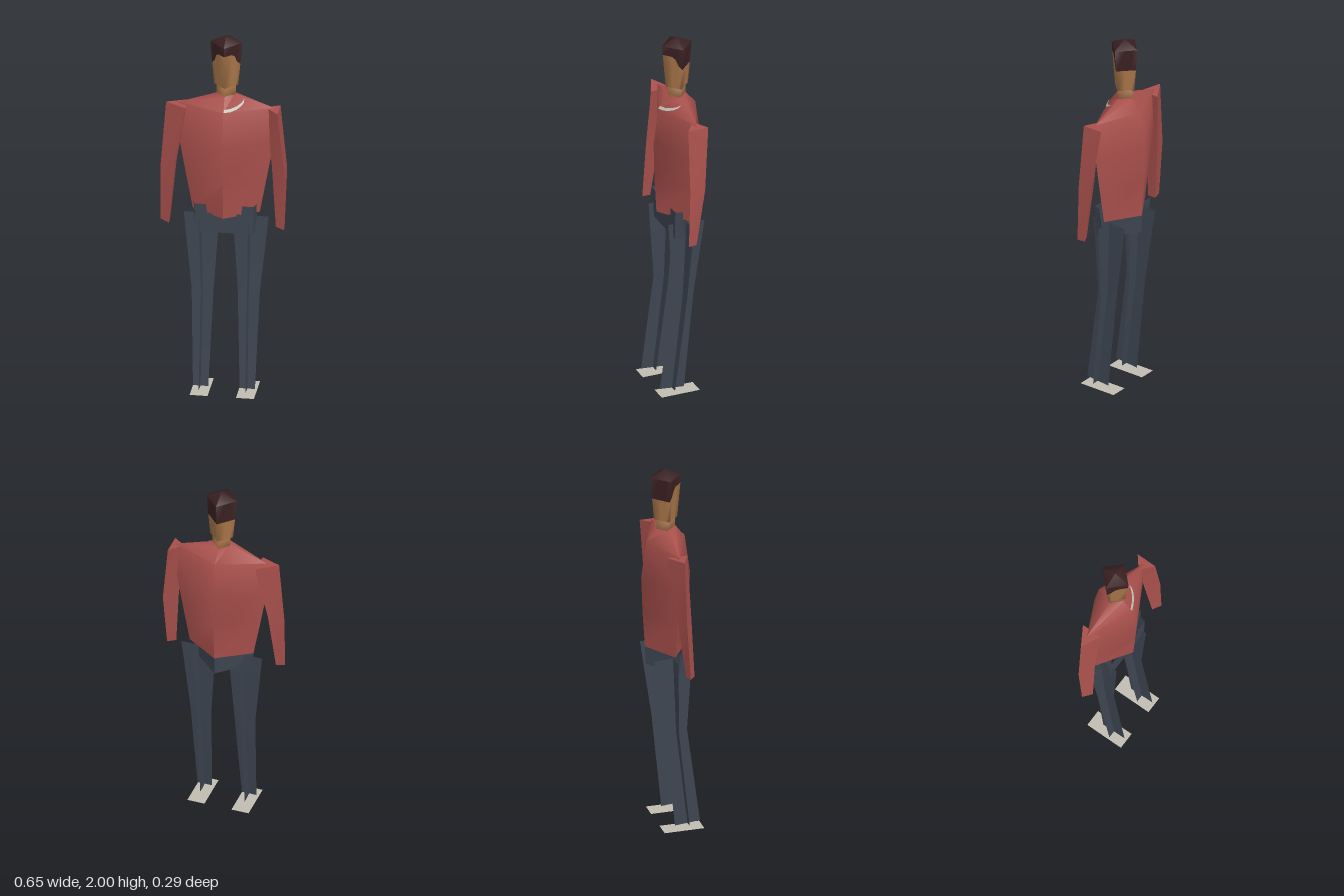
import * as THREE from 'three';
import { toCreasedNormals } from 'three/addons/utils/BufferGeometryUtils.js';

const CX = 0.01, CZ = -0.013; // body axis

function material(name, color) {
  const m = new THREE.MeshStandardMaterial({ color, side: THREE.DoubleSide });
  m.name = name;
  return m;
}

// Geometry from a list of polygons (each a list of [x, y, z] corners)
function fromPolygons(polys, crease) {
  const pos = [];
  for (const p of polys)
    for (let i = 1; i < p.length - 1; i++) pos.push(...p[0], ...p[i], ...p[i + 1]);
  const g = new THREE.BufferGeometry();
  g.setAttribute('position', new THREE.Float32BufferAttribute(pos, 3));
  g.computeVertexNormals();
  return toCreasedNormals(g, crease);
}

// Skin rings of points, bottom to top, with optional end caps
function loft(rings, crease, bottom = true, top = true) {
  const polys = [];
  for (let r = 0; r < rings.length - 1; r++) {
    const a = rings[r], b = rings[r + 1], n = a.length;
    for (let i = 0; i < n; i++) {
      const j = (i + 1) % n;
      polys.push([a[i], a[j], b[j], b[i]]);
    }
  }
  if (bottom) polys.push([...rings[0]].reverse());
  if (top) polys.push(rings[rings.length - 1]);
  return fromPolygons(polys, crease);
}

// Four-cornered ring: front, left, back, right
const diamond = (y, hx, front, back) =>
  [[CX, y, front], [CX + hx, y, CZ], [CX, y, back], [CX - hx, y, CZ]];

export function createModel() {
  const model = new THREE.Group();
  model.name = 'standingFigure';
  const red = material('red sweater', 0xa9504c);
  const denim = material('dark blue trousers', 0x3d4551);
  const skin = material('brown skin', 0xa87549);
  const hair = material('dark brown hair', 0x3a2022);
  const pale = material('pale grey', 0xc0bcb0);
  const add = (name, geometry, mat, parent = model) => {
    const mesh = new THREE.Mesh(geometry, mat);
    mesh.name = name;
    parent.add(mesh);
    return mesh;
  };

  // Torso
  add('torso', loft([
    diamond(1.0, 0.175, 0.102, -0.125),
    diamond(1.2, 0.212, 0.113, -0.138),
    diamond(1.4, 0.247, 0.118, -0.145),
    diamond(1.6, 0.25, 0.09, -0.117),
    diamond(1.67, 0.045, 0.04, -0.058),
  ], 1.1), red);

  // Curved stripe lying on the left chest slope
  const chest = (x, y) => {
    const f = (1.67 - y) / 0.07;
    const zf = 0.04 + f * 0.05;
    const t = (x - CX) / (0.045 + f * 0.205);
    return [x, y + 0.003, CZ + (zf - CZ) * (1 - t) + 0.003];
  };
  const line = [[0.012, 1.606], [0.045, 1.607], [0.075, 1.615], [0.095, 1.626], [0.107, 1.638]];
  const strip = [];
  for (let i = 0; i < line.length - 1; i++) {
    const [x0, y0] = line[i], [x1, y1] = line[i + 1], w = 0.007;
    strip.push([chest(x0, y0 - w), chest(x1, y1 - w), chest(x1, y1 + w), chest(x0, y0 + w)]);
  }
  add('chestStripe', fromPolygons(strip, 0.5), pale);

  // Neck
  add('neck', loft([diamond(1.65, 0.05, 0.037, -0.063), diamond(1.725, 0.05, 0.037, -0.063)], 1.6), skin);

  // Head: each side is split along the hairline into face and hair
  const LOW = 1.72, HIGH = 1.96;
  const corner = (k, y) => {
    const f = (y - LOW) / (HIGH - LOW);
    const h = 0.063 + 0.021 * f;
    const a = (k * Math.PI) / 2;
    return [CX + Math.sin(a) * h, y, CZ + Math.cos(a) * h];
  };
  const onSide = (k, t, y) => {
    const a = corner(k, y), b = corner(k + 1, y);
    return a.map((v, i) => v + (b[i] - v) * t);
  };
  const columns = [0, 0.45, 0.62, 0.78, 1];
  const fringe = [1.91, 1.908, 1.895, 1.86, 1.84];
  const facePolys = [], hairPolys = [];
  for (let k = 0; k < 4; k++) {
    const ts = k === 3 ? columns.map((t) => 1 - t).reverse() : columns;
    const hs = k === 0 ? fringe : k === 3 ? [...fringe].reverse() : fringe.map(() => 1.84);
    for (let i = 0; i < ts.length - 1; i++) {
      const at = (n, y) => onSide(k, ts[n], y);
      facePolys.push([at(i, LOW), at(i + 1, LOW), at(i + 1, hs[i + 1]), at(i, hs[i])]);
      hairPolys.push([at(i, hs[i]), at(i + 1, hs[i + 1]), at(i + 1, HIGH), at(i, HIGH)]);
    }
    hairPolys.push([corner(k, HIGH), corner(k + 1, HIGH), [CX, 2, CZ]]);
  }
  facePolys.push([3, 2, 1, 0].map((k) => corner(k, LOW)));
  add('face', fromPolygons(facePolys, 1.6), skin);
  add('hair', fromPolygons(hairPolys, 1.1), hair);

  // Arms: three-sided sleeves
  add('rightArm', loft([
    [[-0.28, 0.935, 0.055], [-0.28, 0.935, 0.01], [-0.327, 0.94, 0.02]],
    [[-0.25, 1.27, 0.046], [-0.25, 1.27, -0.03], [-0.33, 1.25, 0]],
    [[-0.195, 1.59, 0.042], [-0.195, 1.59, -0.07], [-0.303, 1.6, -0.005]],
  ], 0.9), red);
  add('leftArm', loft([
    [[0.322, 0.935, 0.055], [0.318, 0.935, 0.01], [0.275, 0.94, 0.03]],
    [[0.322, 1.25, 0.047], [0.325, 1.25, -0.035], [0.25, 1.27, 0]],
    [[0.285, 1.59, 0.042], [0.285, 1.59, -0.07], [0.215, 1.6, -0.013]],
  ], 0.9), red);

  // Hips: open band, flat in front and pointed behind
  const hipRing = (y, hx, back) => [[CX - hx * 0.9, y, 0.06], [CX + hx * 0.9, y, 0.06],
    [CX + hx, y, 0.015], [CX, y, back], [CX - hx, y, 0.015]];
  add('hips', loft([hipRing(0.9, 0.152, -0.122), hipRing(1.01, 0.168, -0.124)], 0.5, false, false), denim);

  // Legs: two crossed sheets each, with a pocket flap above and a flat foot below
  for (const side of [-1, 1]) {
    const leg = new THREE.Group();
    leg.name = side < 0 ? 'rightLeg' : 'leftLeg';
    model.add(leg);
    const X = (d) => CX + side * d;

    // [y, inner x, outer x, front z, back z]
    const sections = [[0.02, 0.082, 0.162, 0.135, 0], [0.55, 0.063, 0.178, 0.066, -0.053],
      [0.975, 0.035, 0.222, 0.09, -0.113]];
    const wide = [], deep = [];
    for (let i = 0; i < 2; i++) {
      const [y0, a0, b0, f0, k0] = sections[i], [y1, a1, b1, f1, k1] = sections[i + 1];
      const z0 = (f0 + k0) / 2, z1 = (f1 + k1) / 2;
      const m0 = X((a0 + b0) / 2), m1 = X((a1 + b1) / 2);
      wide.push([[X(a0), y0, z0], [X(b0), y0, z0], [X(b1), y1, z1], [X(a1), y1, z1]]);
      const tilt = 0.006;
      deep.push([[m0, y0 + tilt, f0], [m0, y0 - tilt, k0], [m1, y1 - tilt, k1], [m1, y1 + tilt, f1]]);
    }
    if (side < 0) wide.forEach((p) => p.reverse());
    add('wideSheet', fromPolygons(wide, 0.5), denim, leg);
    add('deepSheet', fromPolygons(deep, 0.5), denim, leg);

    // Pocket flap: folded plate wrapping the hip corner
    const flap = [
      [[X(0.085), 0.98, 0.063], [X(0.147), 0.9, 0.063], [X(0.155), 1.06, 0.063], [X(0.095), 1.06, 0.063]],
      [[X(0.147), 0.9, 0.063], [X(0.155), 0.9, 0.015], [X(0.165), 1.06, 0.025], [X(0.155), 1.06, 0.063]],
    ];
    if (side < 0) flap.forEach((p) => p.reverse());
    add('pocketFlap', fromPolygons(flap, 0.3), denim, leg);

    // Foot
    const foot = add('foot', new THREE.PlaneGeometry(0.094, 0.214), pale, leg);
    foot.rotation.x = -Math.PI / 2;
    foot.position.set(X(0.121), 0, 0.038);
  }
  return model;
}
